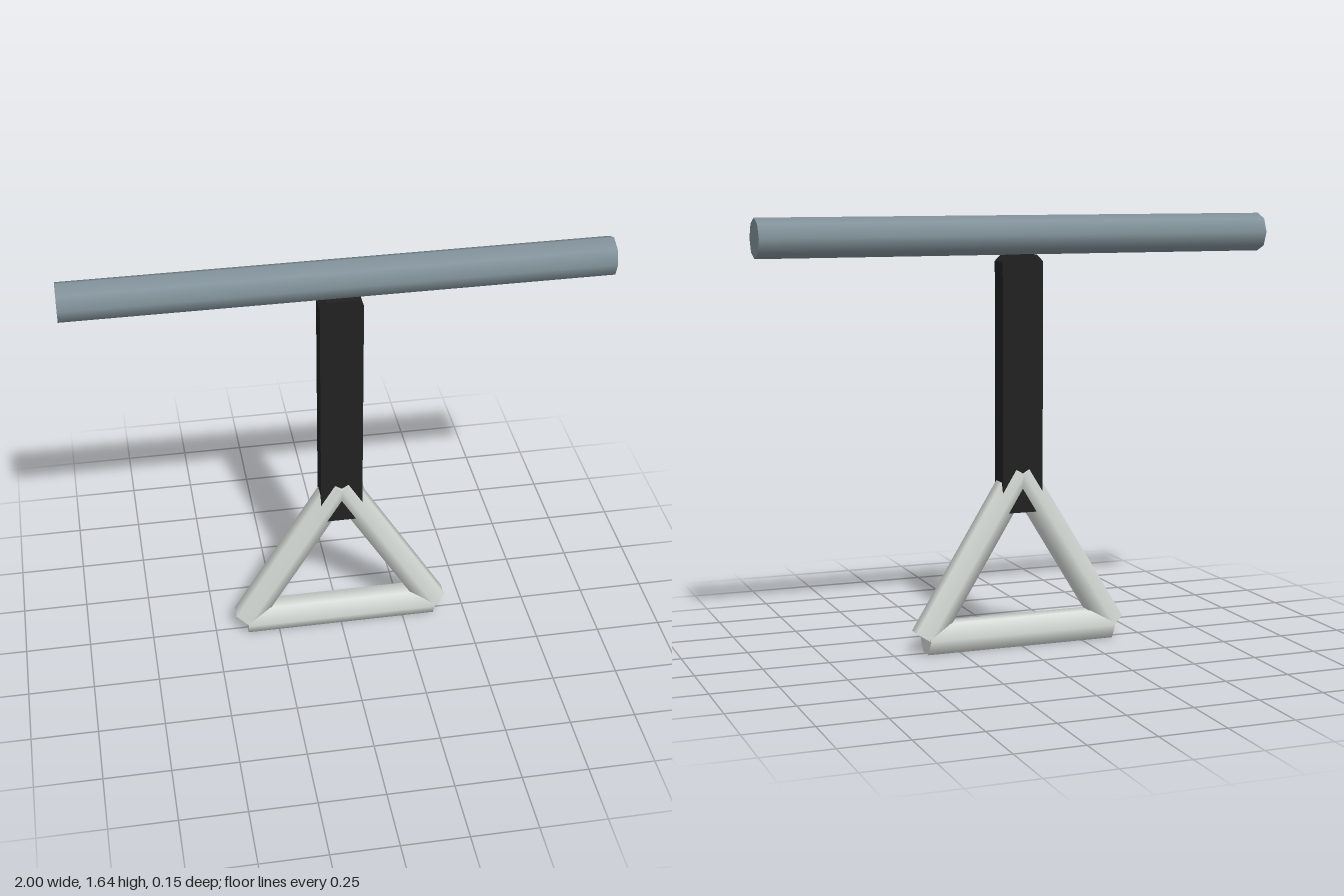
import * as THREE from 'three';

const mat = (name, color) => {
  const m = new THREE.MeshStandardMaterial({ color });
  m.name = name;
  return m;
};

export function createModel() {
  const group = new THREE.Group();
  const railGrey = mat('rail blue grey', 0x82929a);
  const strapBlack = mat('strap black', 0x212121);
  const handleWhite = mat('handle off-white', 0xd7dcd8);

  // Straight rod between two points in the xy plane
  const rod = (name, ax, ay, bx, by, radius, sides, material) => {
    const a = new THREE.Vector3(ax, ay, 0), b = new THREE.Vector3(bx, by, 0);
    const mesh = new THREE.Mesh(new THREE.CylinderGeometry(radius, radius, a.distanceTo(b), sides), material);
    mesh.name = name;
    mesh.position.copy(a).add(b).multiplyScalar(0.5);
    mesh.rotation.z = Math.atan2(by - ay, bx - ax) - Math.PI / 2;
    group.add(mesh);
  };

  // Overhead rail
  rod('rail', -1, 1.562, 1, 1.562, 0.073, 8, railGrey);

  // Strap with clipped corners
  const w = 0.08, c = 0.025, y0 = 0.52, y1 = 1.49, depth = 0.085;
  const outline = new THREE.Shape([
    [-w + c, y0], [w - c, y0], [w, y0 + c], [w, y1 - c],
    [w - c, y1], [-w + c, y1], [-w, y1 - c], [-w, y0 + c],
  ].map(([x, y]) => new THREE.Vector2(x, y)));
  const strap = new THREE.Mesh(new THREE.ExtrudeGeometry(outline, { depth, bevelEnabled: false }), strapBlack);
  strap.name = 'strap';
  strap.position.z = -depth / 2;
  group.add(strap);

  // Triangular handle: grip bar and two sloping sides
  rod('gripBar', -0.375, 0.057, 0.375, 0.057, 0.066, 6, handleWhite);
  rod('handleSideLeft', 0.375, 0.057, 0, 0.669, 0.06, 6, handleWhite);
  rod('handleSideRight', -0.375, 0.057, 0, 0.669, 0.06, 6, handleWhite);

  return group;
}
